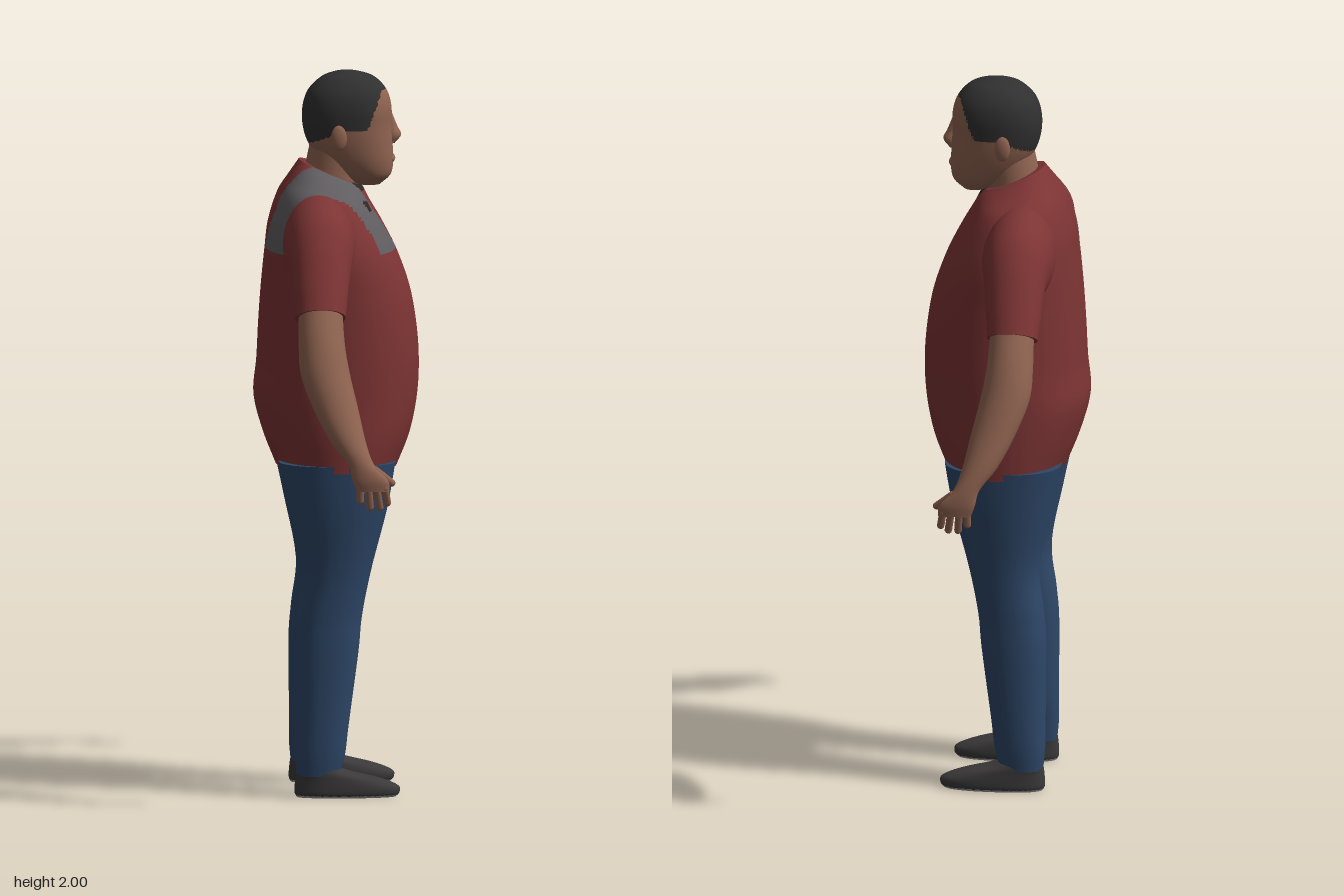
import * as THREE from 'three';

const mat = (name, color) => Object.assign(new THREE.MeshStandardMaterial({ color }), { name });
const V = (x, y, z) => new THREE.Vector3(x, y, z);

// Smooth skin over rings {c, u, v}: centre plus two half-axis vectors.
// pick(centre of face) chooses the material index of each face.
function loft(name, rings, mats, pick = () => 0, { seg = 40, steps = 5, e = 2 } = {}) {
  const curve = (k) => new THREE.CatmullRomCurve3(rings.map((r) => r[k]), false, 'catmullrom', 0.5);
  const C = curve('c'), U = curve('u'), W = curve('v');
  const rows = (rings.length - 1) * steps, pts = [];
  const pw = (a) => Math.sign(a) * Math.abs(a) ** (2 / e);
  const ring = (t) => {
    const c = C.getPoint(t), u = U.getPoint(t), v = W.getPoint(t);
    for (let j = 0; j < seg; j++) {
      const a = (j / seg) * Math.PI * 2;
      pts.push(c.clone().addScaledVector(u, pw(Math.cos(a))).addScaledVector(v, pw(Math.sin(a))));
    }
  };
  for (let i = 0; i <= rows; i++) ring(i / rows);
  const dir = rings.at(-1).c.clone().sub(rings[0].c);
  const flip = rings[0].u.clone().cross(rings[0].v).dot(dir) < 0;
  const groups = mats.map(() => []);
  const tri = (a, b, c) => {
    const m = pts[a].clone().add(pts[b]).add(pts[c]).divideScalar(3);
    groups[pick(m)].push(...(flip ? [a, c, b] : [a, b, c]));
  };
  for (let i = 0; i < rows; i++) {
    for (let j = 0; j < seg; j++) {
      const a = i * seg + j, b = i * seg + ((j + 1) % seg);
      tri(a, b, a + seg);
      tri(b, b + seg, a + seg);
    }
  }
  // separate end caps keep their rims crisp
  for (const t of [0, 1]) {
    const s = pts.length;
    ring(t);
    pts.push(C.getPoint(t));
    for (let j = 0; j < seg; j++) {
      const a = s + j, b = s + ((j + 1) % seg);
      if (t) tri(a, b, s + seg); else tri(b, a, s + seg);
    }
  }
  const g = new THREE.BufferGeometry().setFromPoints(pts);
  g.setIndex(groups.flat());
  let start = 0;
  groups.forEach((l, i) => { g.addGroup(start, l.length, i); start += l.length; });
  g.computeVertexNormals();
  const mesh = new THREE.Mesh(g, mats);
  mesh.name = name;
  return mesh;
}

// Level ring: height, back x, front x, half width, z centre, forward tilt
const level = ([y, x0, x1, zh, z = 0, tilt = 0]) =>
  ({ c: V((x0 + x1) / 2, y, z), u: V((x1 - x0) / 2, tilt, 0), v: V(0, 0, zh) });

// Limb ring: outer z,y and inner z,y, then x centre and x half size
const limb = (s) => ([oz, oy, iz, iy, x, xh]) =>
  ({ c: V(x, (oy + iy) / 2, (s * (oz + iz)) / 2), u: V(xh, 0, 0), v: V(0, (oy - iy) / 2, (s * (oz - iz)) / 2) });

export function createModel() {
  const root = new THREE.Group();
  root.name = 'standingMan';
  const shirt = mat('red shirt', 0x7d3434), skin = mat('brown skin', 0x8f6350);
  const hair = mat('black hair', 0x303030), jeans = mat('blue jeans', 0x2e4768);
  const shoe = mat('dark shoe', 0x3b3939), sole = mat('pale sole', 0x9a9a9a);
  const grey = mat('grey patch', 0x605d60), dark = mat('dark lining', 0x2f2625);

  // Shirt body, with a grey shoulder patch and dark hem lining
  const inPatch = (p) => p.y > 1.51 && p.z < 0.177 &&
    p.z > 0.03 + 0.04 * THREE.MathUtils.clamp((p.y - 1.53) / 0.1, 0, 1);
  const shirtPick = (p) => {
    if (p.y < 0.912) return 2;
    if (p.x > 0 && Math.abs(p.z - 0.1) < 0.017 && Math.abs(p.y - 1.635) < 0.014) return 2;
    if (p.x > 0.03 && p.y > 1.672 && p.z > -0.04 && p.z < 0.07) return 2;
    return inPatch(p) ? 1 : 0;
  };
  const shirtMats = [shirt, grey, dark];
  root.add(loft('shirtBody', [
    [0.91, -0.17, 0.165, 0.245], [1.0, -0.205, 0.2, 0.25], [1.1, -0.23, 0.22, 0.25],
    [1.2, -0.222, 0.225, 0.25], [1.3, -0.217, 0.218, 0.25], [1.4, -0.21, 0.2, 0.25],
    [1.5, -0.2, 0.165, 0.25], [1.58, -0.19, 0.125, 0.235], [1.65, -0.165, 0.09, 0.2, 0, -0.01],
    [1.69, -0.135, 0.075, 0.14, 0, -0.02], [1.72, -0.105, 0.065, 0.085, 0, -0.035],
  ].map(level), shirtMats, shirtPick, { seg: 80, steps: 8, e: 2.15 }));

  // Neck and head
  root.add(loft('neck', [
    [1.62, -0.1, 0.05, 0.08], [1.72, -0.09, 0.057, 0.076], [1.8, -0.075, 0.07, 0.076],
  ].map(level), [skin]));
  const hairline = (x) => {
    if (x < 0) return THREE.MathUtils.mapLinear(x, -0.095, 0, 1.795, 1.84);
    if (x < 0.08) return 1.845;
    return Math.min(1.95, 1.845 + (x - 0.08) * 2.6);
  };
  root.add(loft('head', [
    [1.685, 0.055, 0.12, 0.04], [1.712, 0.0, 0.148, 0.068], [1.75, -0.045, 0.155, 0.086],
    [1.8, -0.08, 0.153, 0.098], [1.85, -0.095, 0.15, 0.104], [1.9, -0.095, 0.15, 0.106],
    [1.945, -0.08, 0.137, 0.096], [1.98, -0.045, 0.105, 0.07], [1.995, -0.01, 0.065, 0.036],
    [2.0, 0.015, 0.035, 0.01],
  ].map(level), [skin, hair], (p) => (p.y > hairline(p.x) ? 1 : 0), { seg: 80, steps: 8, e: 2.2 }));
  root.add(loft('nose', [
    [1.797, 0.13, 0.16, 0.018], [1.82, 0.13, 0.177, 0.021], [1.845, 0.13, 0.166, 0.014],
    [1.885, 0.13, 0.15, 0.009],
  ].map(level), [skin], undefined, { seg: 16 }));
  root.add(loft('lips', [
    [1.742, 0.13, 0.154, 0.025], [1.755, 0.13, 0.161, 0.032], [1.77, 0.13, 0.154, 0.025],
  ].map(level), [skin], undefined, { seg: 16 }));

  // Pelvis joining the legs
  root.add(loft('jeansSeat', [
    [0.83, -0.12, 0.09, 0.1], [0.87, -0.15, 0.13, 0.2], [0.93, -0.165, 0.155, 0.24],
  ].map(level), [jeans]));

  for (const s of [1, -1]) {
    const side = new THREE.Group();
    side.name = s > 0 ? 'rightSide' : 'leftSide';
    root.add(side);

    const ear = new THREE.Mesh(new THREE.SphereGeometry(1, 16, 12), skin);
    ear.name = 'ear';
    ear.scale.set(0.022, 0.036, 0.012);
    ear.position.set(0.0, 1.825, s * 0.101);
    side.add(ear);

    // Short sleeve
    side.add(loft('sleeve', [
      [0.1, 1.69, 0.1, 1.42, -0.06, 0.09], [0.2, 1.672, 0.2, 1.41, -0.06, 0.1],
      [0.29, 1.635, 0.245, 1.42, -0.06, 0.092], [0.35, 1.565, 0.268, 1.41, -0.062, 0.083],
      [0.4, 1.475, 0.305, 1.375, -0.065, 0.076], [0.437, 1.397, 0.333, 1.335, -0.067, 0.07],
    ].map(limb(s)), shirtMats, (p) => (inPatch(p) ? 1 : 0), { seg: 48, steps: 8 }));

    // Bare arm running into the palm
    side.add(loft('arm', [
      [0.42, 1.42, 0.335, 1.36, -0.066, 0.06], [0.475, 1.32, 0.37, 1.27, -0.065, 0.064],
      [0.512, 1.23, 0.4, 1.2, -0.056, 0.068], [0.547, 1.13, 0.45, 1.115, -0.028, 0.061],
      [0.575, 1.05, 0.503, 1.03, 0.003, 0.048], [0.592, 0.99, 0.55, 0.98, 0.035, 0.036],
      [0.598, 0.945, 0.565, 0.94, 0.06, 0.049], [0.595, 0.912, 0.568, 0.908, 0.068, 0.045],
    ].map(limb(s)), [skin], undefined, { seg: 32 }));

    // Four fingers and a thumb: base x,y,z to tip x,y,z
    [
      [0.033, 0.925, 0.582, 0.033, 0.885, 0.572], [0.055, 0.915, 0.582, 0.06, 0.866, 0.566],
      [0.078, 0.915, 0.582, 0.087, 0.865, 0.563], [0.1, 0.92, 0.582, 0.108, 0.878, 0.565],
      [0.075, 0.97, 0.575, 0.12, 0.932, 0.56],
    ].forEach(([ax, ay, az, bx, by, bz], i) => {
      const a = V(ax, ay, s * az), b = V(bx, by, s * bz), d = b.clone().sub(a);
      const f = new THREE.Mesh(new THREE.CapsuleGeometry(0.0105, d.length(), 4, 10), skin);
      f.name = i < 4 ? 'finger' : 'thumb';
      f.position.copy(a).add(b).multiplyScalar(0.5);
      f.quaternion.setFromUnitVectors(V(0, 1, 0), d.normalize());
      side.add(f);
    });

    // Trouser leg
    side.add(loft('trouserLeg', [
      [0.06, -0.12, 0.0, 0.048, s * 0.145], [0.12, -0.125, 0.015, 0.056, s * 0.143],
      [0.2, -0.125, 0.025, 0.066, s * 0.136], [0.4, -0.127, 0.052, 0.076, s * 0.13],
      [0.5, -0.12, 0.062, 0.08, s * 0.126], [0.63, -0.107, 0.088, 0.09, s * 0.122],
      [0.8, -0.14, 0.132, 0.112, s * 0.122], [0.93, -0.168, 0.155, 0.122, s * 0.124],
    ].map(level), [jeans], undefined, { e: 2.2 }));

    // Shoe with a pale sole
    side.add(loft('shoe', [
      [0, -0.12, 0.155, 0.046, s * 0.146], [0.012, -0.125, 0.165, 0.051, s * 0.146],
      [0.03, -0.125, 0.16, 0.051, s * 0.146], [0.05, -0.123, 0.11, 0.049, s * 0.146],
      [0.068, -0.12, 0.035, 0.047, s * 0.146], [0.08, -0.115, 0.0, 0.044, s * 0.146],
    ].map(level), [shoe, sole], (p) => (p.y < 0.006 ? 1 : 0), { e: 2.4 }));
  }
  return root;
}
